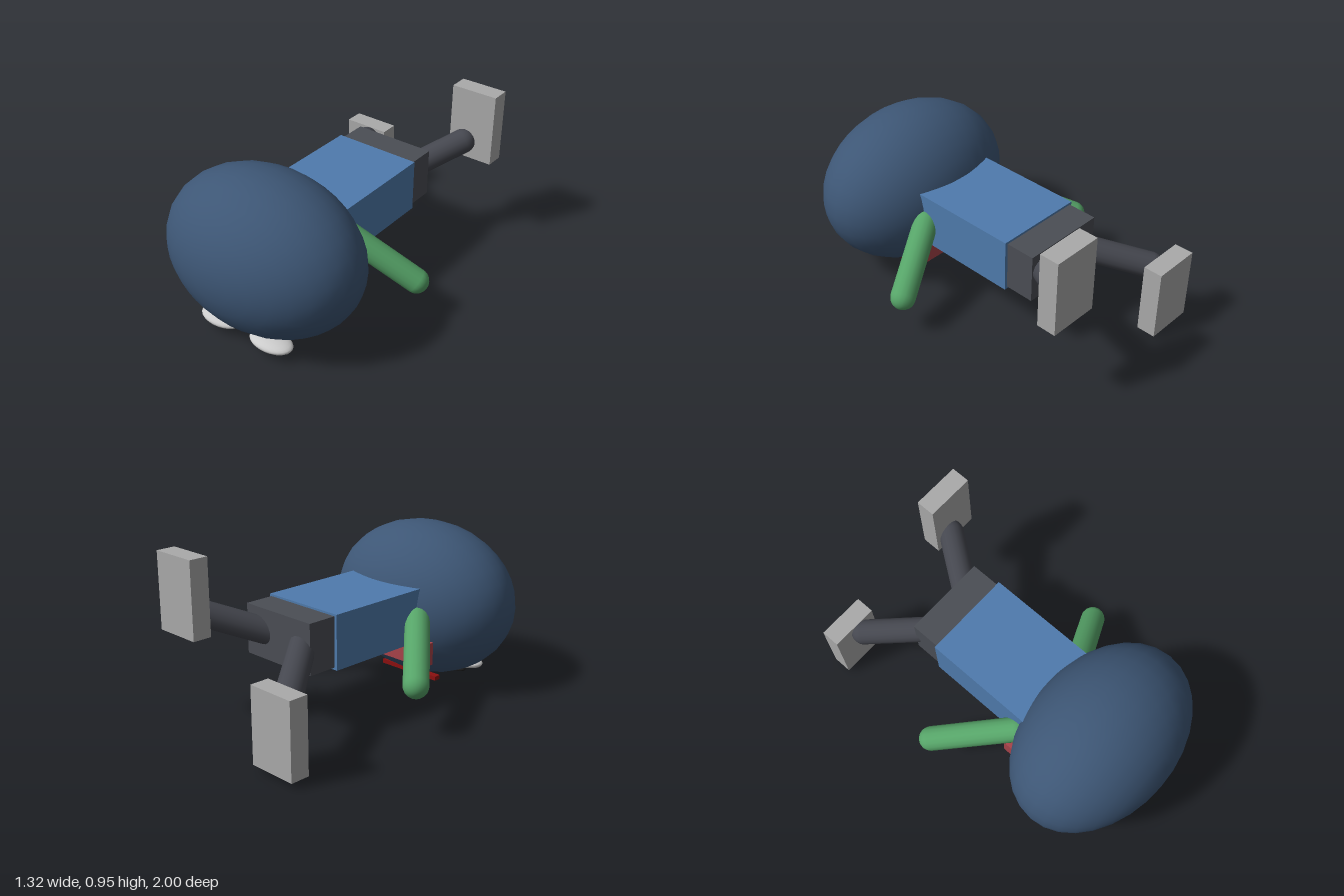
import * as THREE from 'three';

export function createModel() {
  const model = new THREE.Group();
  model.name = 'lyingFigure';

  const add = (name, geometry, color, x = 0, y = 0, z = 0) => {
    const mesh = new THREE.Mesh(geometry, new THREE.MeshStandardMaterial({ color }));
    mesh.name = name;
    mesh.position.set(x, y, z);
    model.add(mesh);
    return mesh;
  };

  const box = (name, color, [w, h, d], [x, y, z]) =>
    add(name, new THREE.BoxGeometry(w, h, d), color, x, y, z);

  // Ellipsoid with its poles along z
  const ellipsoid = (name, color, [rx, ry, rz], [x, y, z], segments = 32) => {
    const geometry = new THREE.SphereGeometry(1, segments, segments / 2);
    geometry.rotateX(Math.PI / 2);
    geometry.scale(rx, ry, rz);
    return add(name, geometry, color, x, y, z);
  };

  // Round-ended limb between two centre points
  const limb = (name, color, radius, start, end) => {
    const a = new THREE.Vector3(...start);
    const b = new THREE.Vector3(...end);
    const direction = b.clone().sub(a);
    const mesh = add(name, new THREE.CapsuleGeometry(radius, direction.length(), 8, 16), color);
    mesh.position.copy(a).add(b).multiplyScalar(0.5);
    mesh.quaternion.setFromUnitVectors(new THREE.Vector3(0, 1, 0), direction.normalize());
    return mesh;
  };

  // Head, face down
  ellipsoid('head', 0x3d5675, [0.59, 0.452, 0.417], [0, 0.485, 0.58]);

  // Eyes and pupils under the head
  for (const [side, s] of [['left', 1], ['right', -1]]) {
    ellipsoid(side + 'Eye', 0xcccccc, [0.134, 0.036, 0.082], [s * 0.172, 0.071, 0.752], 24);
    ellipsoid(side + 'Pupil', 0x1a1a1a, [0.033, 0.012, 0.033], [s * 0.161, 0.013, 0.74], 16);
  }

  // Mouth and neck scarf
  box('mouth', 0x8b1010, [0.42, 0.025, 0.042], [0, 0.044, 0.467]);
  box('scarf', 0xa8434a, [0.7, 0.13, 0.075], [0, 0.29, 0.217]);

  // Torso and hips
  box('torso', 0x4f7bad, [0.52, 0.305, 0.65], [0, 0.498, -0.075]);
  box('hips', 0x4b4e55, [0.49, 0.28, 0.17], [0, 0.5, -0.487]);

  // Arms
  limb('leftArm', 0x56a468, 0.07, [0.26, 0.48, 0.2], [0.59, 0.235, 0.04]);
  limb('rightArm', 0x56a468, 0.07, [-0.27, 0.48, 0.21], [-0.59, 0.287, -0.155]);

  // Legs: left kicked up, right lowered
  limb('leftLeg', 0x45474f, 0.072, [0.1, 0.485, -0.5], [0.32, 0.625, -0.82]);
  limb('rightLeg', 0x45474f, 0.072, [-0.12, 0.5, -0.5], [-0.4, 0.388, -0.853]);

  // Feet
  box('leftFoot', 0xaaaaaa, [0.28, 0.43, 0.11], [0.36, 0.735, -0.89]);
  box('rightFoot', 0xaaaaaa, [0.28, 0.42, 0.11], [-0.43, 0.242, -0.943]);

  return model;
}
